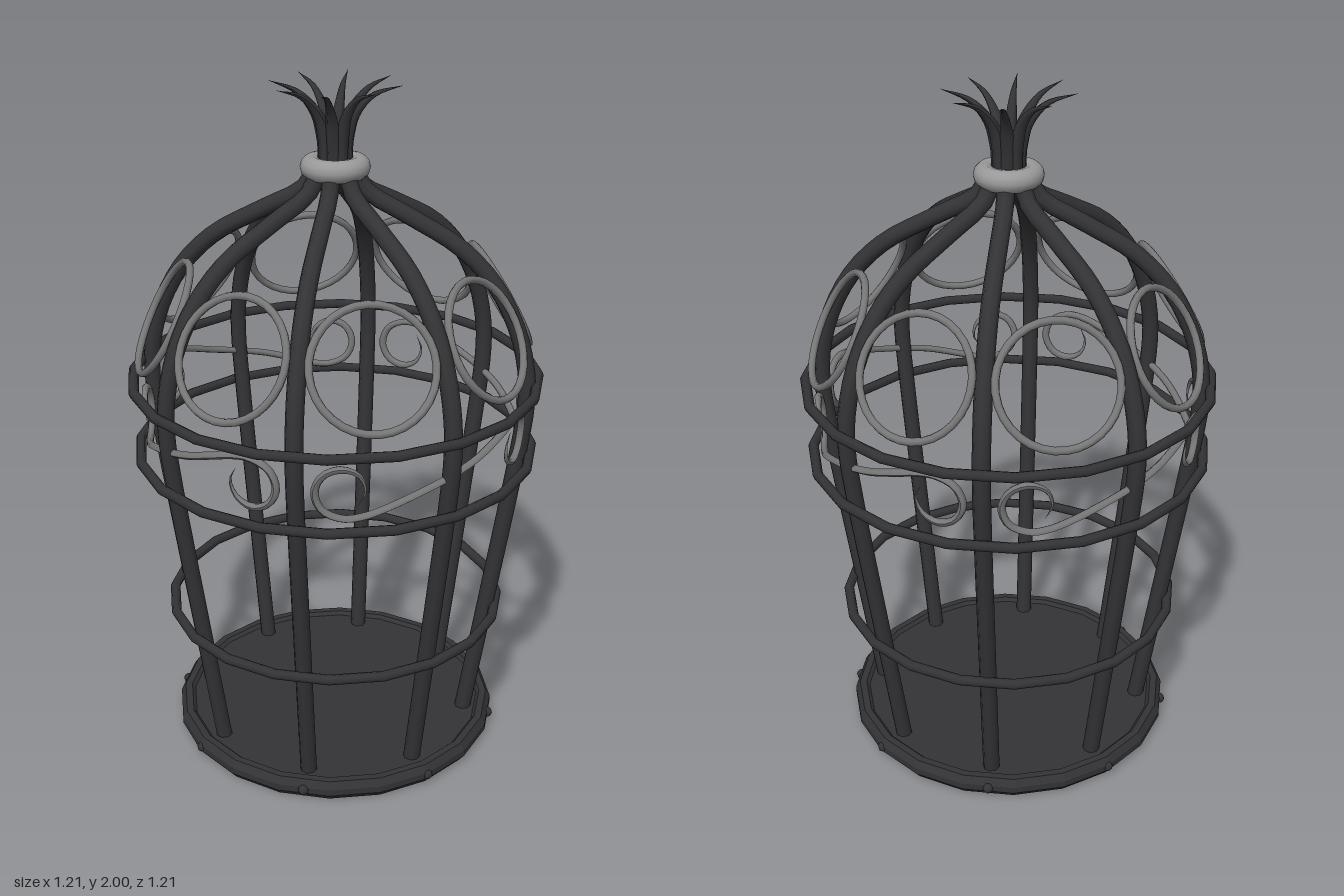
import * as THREE from 'three';

const V = (x, y, z) => new THREE.Vector3(x, y, z);
const iron = new THREE.MeshStandardMaterial({ color: 0x333336 });
const steel = new THREE.MeshStandardMaterial({ color: 0x777777 });
const collarGrey = new THREE.MeshStandardMaterial({ color: 0x999999 });

// Tube whose radius is scaled along its length by taper(t)
function taperedTube(points, radius, segments, sides, taper) {
  const curve = new THREE.CatmullRomCurve3(points);
  const geo = new THREE.TubeGeometry(curve, segments, radius, sides);
  const pos = geo.attributes.position;
  const p = new THREE.Vector3();
  for (let i = 0; i <= segments; i++) {
    const c = curve.getPointAt(i / segments);
    for (let j = 0; j <= sides; j++) {
      const k = i * (sides + 1) + j;
      p.fromBufferAttribute(pos, k).sub(c).multiplyScalar(taper(i / segments)).add(c);
      pos.setXYZ(k, p.x, p.y, p.z);
    }
  }
  geo.computeVertexNormals();
  return geo;
}

export function createModel() {
  const cage = new THREE.Group();
  cage.name = 'birdcage';

  const add = (name, geo, mat, parent = cage) => {
    const mesh = new THREE.Mesh(geo, mat);
    mesh.name = name;
    parent.add(mesh);
    return mesh;
  };

  // Repeat one geometry around the vertical axis
  const around = (name, count, geo, mat, offset = 0) => {
    const group = new THREE.Group();
    group.name = name + 's';
    for (let i = 0; i < count; i++) {
      add(name, geo, mat, group).rotation.y = ((i + offset) / count) * Math.PI * 2;
    }
    cage.add(group);
  };

  // Base plate with a chamfered rim and a slightly sunken floor
  const baseProfile = [[0, 0], [0.48, 0], [0.497, 0.022], [0.497, 0.042], [0.483, 0.063],
    [0.462, 0.063], [0.452, 0.052], [0, 0.052]].map(([r, y]) => new THREE.Vector2(r, y));
  const base = new THREE.LatheGeometry(baseProfile, 20).toNonIndexed();
  base.computeVertexNormals();
  add('base', base, iron);

  // Small rivets on the rim under each bar
  around('rivet', 8, new THREE.SphereGeometry(0.016, 8, 6).translate(0, 0.033, 0.49), iron);

  // Upright bars that bend inward to form the dome
  const barPath = [[0.41, 0.04], [0.476, 0.49], [0.54, 0.94], [0.557, 1.1], [0.553, 1.2], [0.52, 1.33],
    [0.45, 1.46], [0.35, 1.56], [0.2, 1.645], [0.085, 1.71], [0.045, 1.79]].map(([r, y]) => V(0, y, r));
  around('bar', 8, new THREE.TubeGeometry(new THREE.CatmullRomCurve3(barPath), 44, 0.025, 8), iron);

  // Horizontal hoops
  for (const [r, y] of [[0.5, 0.43], [0.58, 0.94], [0.59, 1.16]]) {
    add('hoop', new THREE.TorusGeometry(r, 0.015, 8, 20).rotateX(Math.PI / 2).translate(0, y, 0), iron);
  }

  // Tilted rings between the bars of the dome
  const ring = new THREE.TorusGeometry(0.168, 0.011, 8, 32)
    .rotateX(-0.48).translate(0, 1.365, 0.49);
  around('domeRing', 8, ring, steel, 0.5);

  // S-shaped scrolls wrapped around the band between the upper hoops
  const half = [[0.1, 0.027], [0.2, 0.06], [0.26, 0.077]];
  for (let i = 0; i <= 7; i++) {
    const a = Math.PI / 2 - i * Math.PI / 4;
    const r = 0.08 - 0.003 * i;
    half.push([0.31 + r * Math.cos(a), r * Math.sin(a)]);
  }
  const mirrored = half.map(([s, h]) => [-s, -h]).reverse();
  const scrollPath = [...mirrored, [0, 0], ...half].map(([s, h]) => {
    const r = 0.55 + 0.06 * h;
    return V(r * Math.sin(s / 0.555), 1.047 + h, r * Math.cos(s / 0.555));
  });
  const scrollTaper = t => Math.min(1, Math.max(0.02, Math.min(t, 1 - t) * 9));
  around('scroll', 4, taperedTube(scrollPath, 0.011, 72, 6, scrollTaper), steel);

  // Collar that gathers the bars
  add('collar', new THREE.TorusGeometry(0.066, 0.032, 12, 32).rotateX(Math.PI / 2).translate(0, 1.77, 0), collarGrey);

  // Crown of pointed leaves curling outward
  const leafPath = [[0.03, 1.76], [0.033, 1.85], [0.054, 1.915], [0.105, 1.97], [0.185, 1.998]]
    .map(([r, y]) => V(0, y, r));
  const leafTaper = t => (t < 0.35 ? 1 : Math.max(0.01, (1 - t) / 0.65));
  around('crownLeaf', 8, taperedTube(leafPath, 0.02, 16, 6, leafTaper), iron);

  return cage;
}
